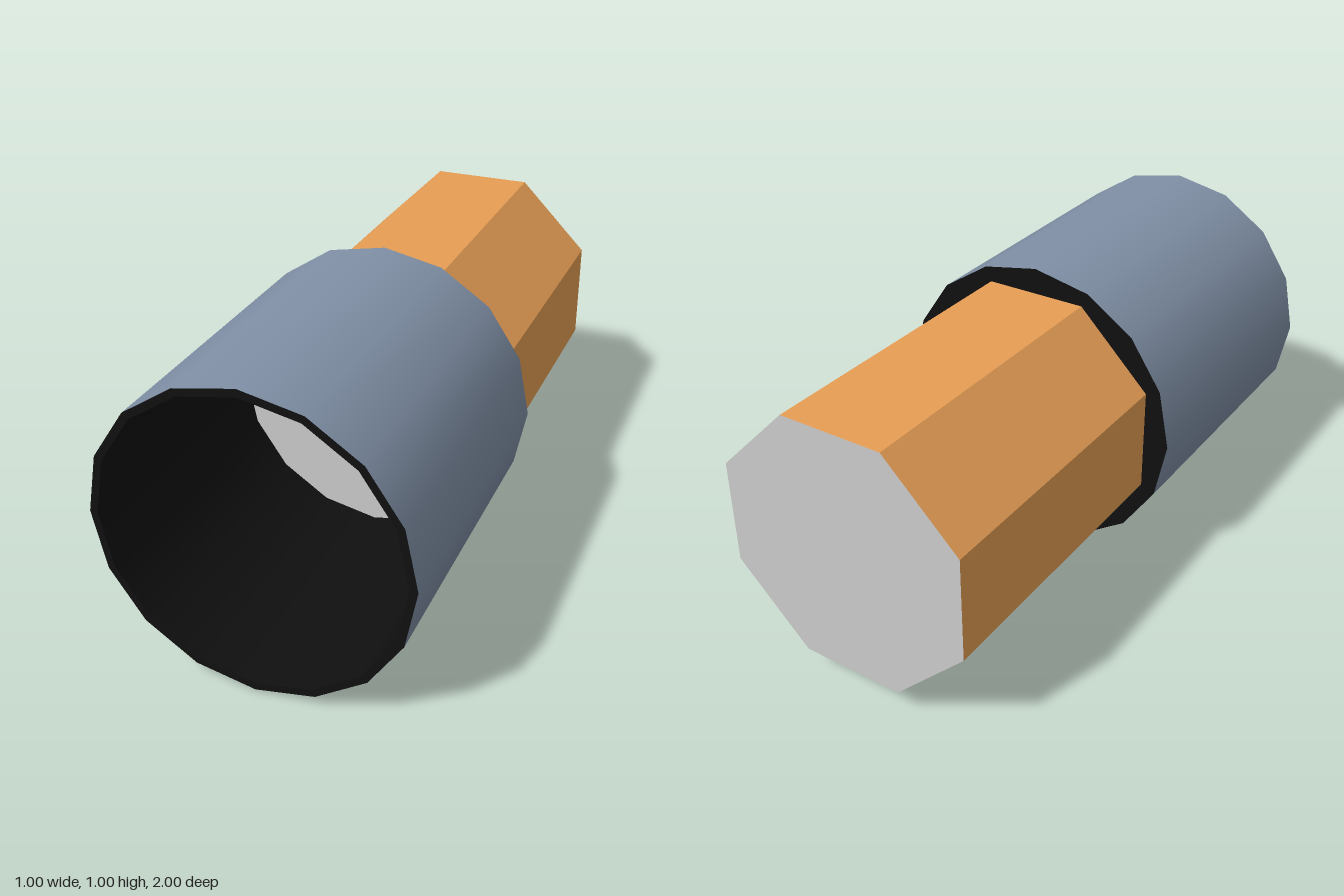
import * as THREE from 'three';

const SIDES = 16, OUTER = 0.5, INNER = 0.475, FLOOR = 0.1;
const mat = (color, extra = {}) => {
  const m = new THREE.MeshStandardMaterial({ color });
  return Object.assign(m, extra);
};

export function createModel() {
  const model = new THREE.Group();
  const slate = mat(0x8090a6);
  const orange = mat(0xe89f55, { flatShading: true });
  const black = mat(0x101010);
  const blackInside = mat(0x101010, { side: THREE.BackSide });
  const grey = mat(0xcccccc);

  const add = (name, geometry, material, z) => {
    const mesh = new THREE.Mesh(geometry, material);
    mesh.name = name;
    mesh.position.set(0, 0.5, z);
    model.add(mesh);
    return mesh;
  };
  // Open tube lying along z
  const tube = (r, length, sides, thetaStart = 0) =>
    new THREE.CylinderGeometry(r, r, length, sides, 1, true, thetaStart).rotateX(Math.PI / 2);

  // Hollow front sleeve: smooth outside, dark lining, rim and closed back
  add('sleeve', tube(OUTER, 1, SIDES), slate, 0.5);
  add('sleeveLining', tube(INNER, 1 - FLOOR, SIDES), blackInside, (1 + FLOOR) / 2);
  add('frontRim', new THREE.RingGeometry(INNER, OUTER, SIDES, 1), black, 1);
  add('sleeveBack', new THREE.CircleGeometry(OUTER, SIDES).rotateY(Math.PI), black, 0);
  add('sleeveFloor', new THREE.CircleGeometry(INNER, SIDES), grey, FLOOR);

  // Octagonal rear handle with flats facing up, down and sideways
  add('handle', tube(0.448, 1, 8, Math.PI / 8), orange, -0.5);
  add('handleEnd', new THREE.CircleGeometry(0.448, 8, Math.PI / 8).rotateY(Math.PI), grey, -1);

  return model;
}
